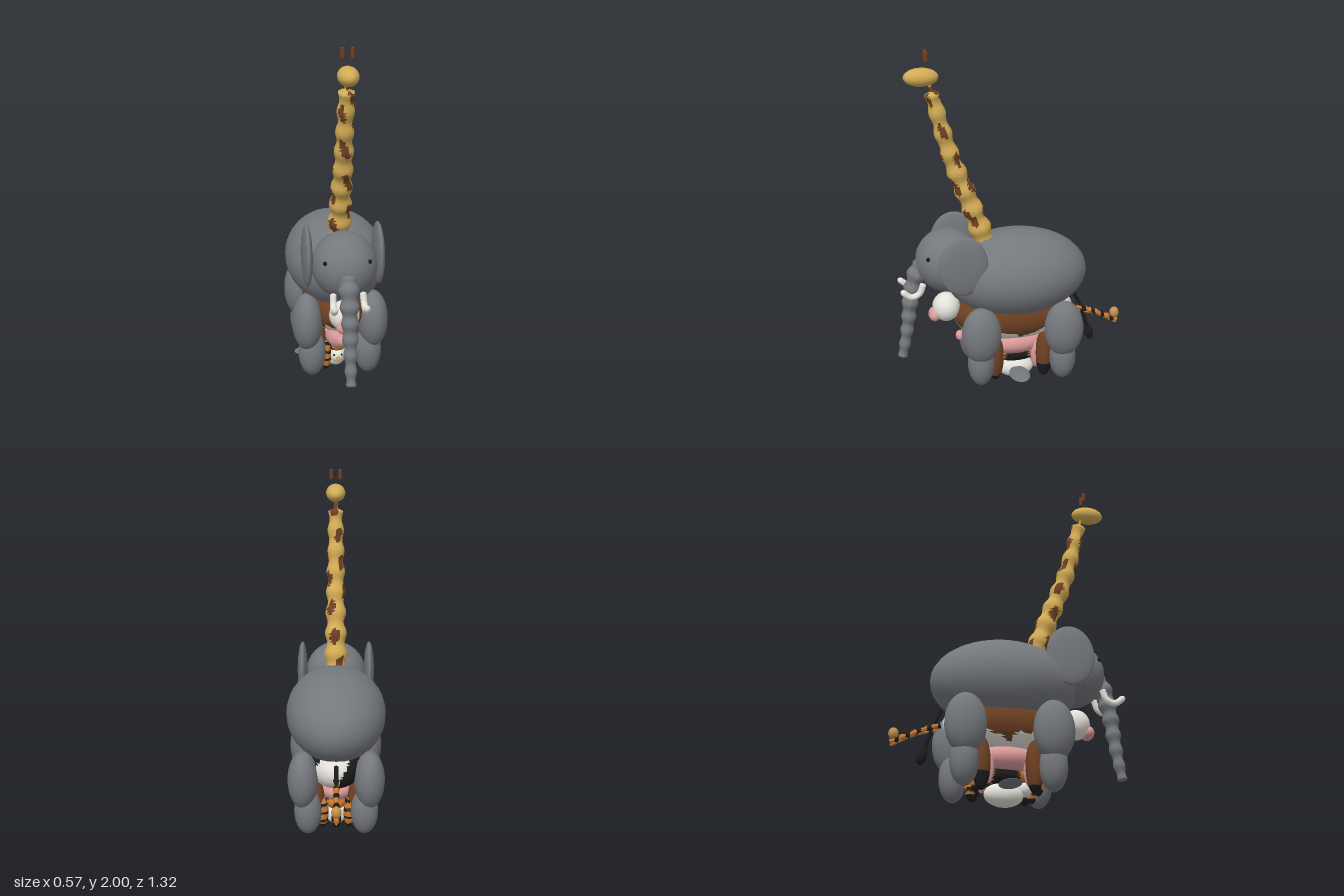
import * as THREE from 'three';

const GREY = 0x75787d, WHITE = 0xe4e2da, BROWN = 0x6e4022, BLACK = 0x1c1c1c, PINK = 0xdb9a9a;
const ORANGE = 0xc9782e, YELLOW = 0xd2ab55, TAN = 0xc6914e;
const V = (x, y, z) => new THREE.Vector3(x, y, z);

function mesh(name, geo, color) {
  const m = new THREE.Mesh(geo, new THREE.MeshStandardMaterial({ color, roughness: 0.8 }));
  m.name = name;
  return m;
}

// Ellipsoid geometry placed by centre and radii
function ball(c, r, seg = 24) {
  return new THREE.SphereGeometry(1, seg, Math.ceil(seg * 0.7)).scale(...r).translate(...c);
}

// Round tube along points; radius is a function of t in 0..1
function sweep(points, radius, steps = 48, sides = 14) {
  const curve = new THREE.CatmullRomCurve3(points.map(p => V(...p)));
  const geo = new THREE.TubeGeometry(curve, steps, 1, sides);
  const pos = geo.attributes.position, nor = geo.attributes.normal;
  for (let i = 0; i <= steps; i++) {
    const t = i / steps, c = curve.getPointAt(t);
    const r = i === 0 || i === steps ? 0.0005 : radius(t);
    for (let j = 0; j <= sides; j++) {
      const k = i * (sides + 1) + j;
      pos.setXYZ(k, c.x + r * nor.getX(k), c.y + r * nor.getY(k), c.z + r * nor.getZ(k));
    }
  }
  geo.computeVertexNormals();
  return geo;
}

// Split a geometry's triangles between colours by a rule on their centres
function patched(name, geo, colors, rule) {
  const src = geo.toNonIndexed(), p = src.attributes.position, n = src.attributes.normal;
  const lists = colors.map(() => ({ p: [], n: [] }));
  for (let i = 0; i < p.count; i += 3) {
    const c = V(0, 0, 0);
    for (let j = 0; j < 3; j++) c.add(V(p.getX(i + j), p.getY(i + j), p.getZ(i + j)));
    const list = lists[rule(c.divideScalar(3))];
    list.p.push(...p.array.slice(i * 3, i * 3 + 9));
    list.n.push(...n.array.slice(i * 3, i * 3 + 9));
  }
  const g = new THREE.Group();
  g.name = name;
  lists.forEach((l, i) => {
    if (!l.p.length) return;
    const part = new THREE.BufferGeometry();
    part.setAttribute('position', new THREE.Float32BufferAttribute(l.p, 3));
    part.setAttribute('normal', new THREE.Float32BufferAttribute(l.n, 3));
    g.add(mesh(name + 'Patch' + i, part, colors[i]));
  });
  return g;
}

function group(name, ...parts) {
  const g = new THREE.Group();
  g.name = name;
  g.add(...parts);
  return g;
}

function elephant() {
  const g = group('elephant',
    mesh('body', ball([0, 0.69, -0.03], [0.285, 0.25, 0.415], 28), GREY),
    mesh('head', ball([0, 0.79, 0.36], [0.178, 0.185, 0.185], 28), GREY),
    mesh('trunk', sweep(
      [[0, 0.79, 0.5], [0, 0.7, 0.545], [0, 0.58, 0.575], [0, 0.4, 0.6], [0, 0.27, 0.622], [0, 0.19, 0.638]],
      t => (0.056 - 0.03 * t) * (1 + 0.13 * Math.cos(t * 14 * Math.PI)) * Math.min(1, 0.5 + t * 12), 70), GREY),
    mesh('tail', sweep([[0, 0.52, -0.38], [0, 0.4, -0.43], [0, 0.29, -0.465], [0, 0.2, -0.49]],
      t => t > 0.72 ? 0.012 + 0.015 * Math.sin((t - 0.72) / 0.28 * Math.PI) : 0.012), BLACK));
  for (const s of [-1, 1]) {
    const ear = mesh('ear', ball([0, 0, 0], [0.03, 0.176, 0.138]), GREY);
    ear.position.set(s * 0.197, 0.825, 0.298);
    g.add(ear,
      mesh('eye', ball([s * 0.12, 0.85, 0.484], [0.012, 0.012, 0.012], 12), BLACK),
      mesh('tusk', sweep([[s * 0.08, 0.69, 0.51], [s * 0.083, 0.63, 0.535], [s * 0.085, 0.612, 0.58], [s * 0.085, 0.655, 0.64]],
        t => 0.018 * Math.min(1, 0.5 + (1 - t) * 5), 30), WHITE));
    for (const z of [0.2, -0.28])
      g.add(mesh('upperLeg', ball([s * 0.187, 0.385, z], [0.086, 0.17, 0.114]), GREY),
        mesh('lowerLeg', ball([s * 0.16, 0.19, z], [0.078, 0.137, 0.077]), GREY));
  }
  return g;
}

function giraffe() {
  const neck = sweep([[0, 0.86, 0.14], [0, 1.05, 0.2], [0, 1.4, 0.33], [0, 1.7, 0.41], [0, 1.79, 0.43], [0, 1.83, 0.44]],
    t => t > 0.94 ? 0.012 : (0.062 - 0.024 * t) * (1 + 0.13 * Math.cos(t * 17 * Math.PI)), 72, 16);
  const g = group('giraffe',
    patched('neck', neck, [YELLOW, BROWN], c => {
      const a = Math.atan2(c.x, c.z - (0.14 + (c.y - 0.86) * 0.34));
      return Math.sin(c.y * 36 + 2 * Math.sin(a)) + Math.cos(a * 3 + c.y * 9) > 0.95 ? 1 : 0;
    }),
    mesh('head', ball([0, 1.855, 0.482], [0.056, 0.05, 0.095]), YELLOW));
  for (const s of [-1, 1])
    g.add(mesh('horn', new THREE.CapsuleGeometry(0.011, 0.043, 4, 10).translate(s * 0.026, 1.967, 0.455), BROWN));
  return g;
}

function cow() {
  const g = group('cow',
    patched('body', ball([0, 0.44, -0.02], [0.185, 0.165, 0.35], 56), [WHITE, BROWN, BLACK], c => {
      const edge = 0.355 + 0.02 * Math.sin(c.z * 30) + 0.012 * Math.sin(c.z * 71 + 1);
      if (c.z < -0.22 && Math.sin(c.x * 17 + c.y * 9) > -0.2) return 2;
      return c.y > edge && c.z > -0.24 ? 1 : 0;
    }),
    mesh('head', ball([0, 0.495, 0.375], [0.085, 0.085, 0.08]), WHITE),
    mesh('muzzle', ball([0, 0.452, 0.443], [0.055, 0.04, 0.036]), PINK));
  for (const s of [-1, 1])
    for (const z of [0.11, -0.18])
      g.add(patched('leg', ball([s * 0.115, 0.2, z], [0.05, 0.15, 0.05], 30), [BROWN, BLACK],
        c => c.y < (z < 0 ? 0.14 : 0.09) ? 1 : 0));
  return g;
}

function pig() {
  const g = group('pig',
    mesh('body', ball([0, 0.255, -0.02], [0.125, 0.085, 0.19]), PINK),
    mesh('head', ball([0, 0.295, 0.21], [0.08, 0.075, 0.08]), PINK),
    mesh('snout', ball([0, 0.3, 0.298], [0.032, 0.03, 0.025]), PINK));
  for (const s of [-1, 1])
    for (const z of [0.085, -0.135])
      g.add(mesh('leg', ball([s * 0.09, 0.185, z], [0.03, 0.09, 0.03], 16), PINK));
  return g;
}

function tiger() {
  const g = group('tiger',
    patched('body', ball([0, 0.17, -0.03], [0.075, 0.06, 0.15], 32), [ORANGE, BLACK],
      c => Math.abs(c.z + 0.03) < 0.07 || Math.sin(c.z * 90) > 0.3 ? 1 : 0),
    patched('tail', sweep([[0, 0.43, -0.38], [0, 0.4, -0.46], [0, 0.35, -0.57], [0, 0.31, -0.65]],
      t => 0.016 + 0.003 * Math.cos(t * 50), 60, 10), [ORANGE, BLACK], c => Math.sin(c.z * 110) > 0.3 ? 1 : 0),
    mesh('thinTail', sweep([[0, 0.4, -0.4], [0, 0.365, -0.52], [0, 0.295, -0.65]], () => 0.009, 24, 10), TAN),
    mesh('tailBall', ball([0, 0.362, -0.632], [0.028, 0.033, 0.028], 16), TAN));
  for (const s of [-1, 1])
    for (const z of [0.14, -0.2])
      g.add(patched('leg', ball([s * 0.075, 0.14, z], [0.032, 0.09, 0.032], 28), [ORANGE, BLACK],
        c => c.y < 0.075 || Math.sin(c.y * 130 + c.x * 20) > 0.5 ? 1 : 0));
  return g;
}

function bird() {
  const g = group('bird',
    mesh('body', ball([0, 0.066, -0.033], [0.066, 0.066, 0.108]), WHITE),
    mesh('head', ball([0, 0.105, 0.08], [0.043, 0.043, 0.043]), WHITE),
    mesh('beak', new THREE.ConeGeometry(0.013, 0.045, 12).rotateX(Math.PI / 2).translate(0, 0.102, 0.138), 0xd9a520));
  for (const s of [-1, 1])
    g.add(mesh('wing', ball([s * 0.145, 0.086, -0.03], [0.095, 0.009, 0.06]), GREY),
      mesh('eye', ball([s * 0.022, 0.12, 0.115], [0.006, 0.006, 0.006], 8), BLACK));
  return g;
}

export function createModel() {
  return group('stackedAnimals', elephant(), giraffe(), cow(), pig(), tiger(), bird());
}
